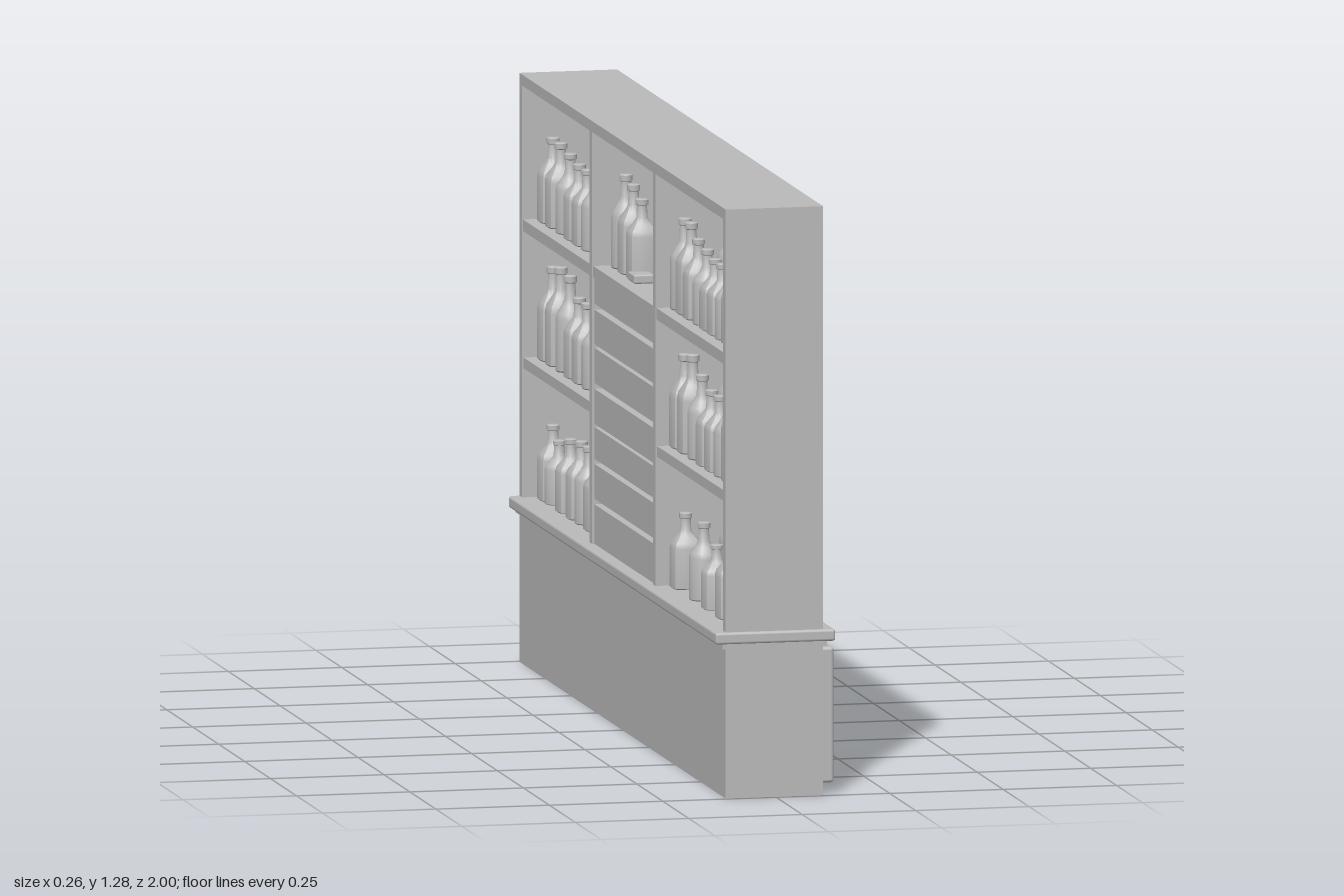
import * as THREE from 'three';
import { toCreasedNormals } from 'three/addons/utils/BufferGeometryUtils.js';
import { RoundedBoxGeometry } from 'three/addons/geometries/RoundedBoxGeometry.js';

const grey = new THREE.MeshStandardMaterial({ color: 0xbababa });
grey.name = 'plain grey';

// box given by its limits on each axis; r rounds the edges
function box(parent, name, [x0, x1], [y0, y1], [z0, z1], r = 0) {
  const size = [x1 - x0, y1 - y0, z1 - z0];
  const geo = r ? new RoundedBoxGeometry(...size, 2, r) : new THREE.BoxGeometry(...size);
  const mesh = new THREE.Mesh(geo, grey);
  mesh.name = name;
  mesh.position.set((x0 + x1) / 2, (y0 + y1) / 2, (z0 + z1) / 2);
  parent.add(mesh);
  return mesh;
}

// unit-height bottle: lathe profile, body optionally squared
function bottleGeometry(square) {
  const profile = [[0, 0], [0.15, 0], [0.17, 0.02], [0.17, 0.54], [0.155, 0.61], [0.1, 0.69],
    [0.066, 0.76], [0.058, 0.92], [0.074, 0.93], [0.074, 0.99], [0.06, 1], [0, 1]];
  const geo = new THREE.LatheGeometry(profile.map(p => new THREE.Vector2(...p)), 16);
  if (square) {
    const pos = geo.attributes.position;
    for (let i = 0; i < pos.count; i++) {
      const x = pos.getX(i), y = pos.getY(i), z = pos.getZ(i);
      const r = Math.hypot(x, z);
      if (y > 0.7 || r < 1e-5) continue;
      const k = Math.min(1.25, r / Math.max(Math.abs(x), Math.abs(z)));
      pos.setX(i, x * k);
      pos.setZ(i, z * k);
    }
  }
  return toCreasedNormals(geo, 0.7);
}

export function createModel() {
  const group = new THREE.Group();
  group.name = 'barShelf';
  const depth = [-0.11, 0.105], end = 0.993;

  // base cabinet, moulding and counter
  box(group, 'baseCabinet', depth, [0, 0.335], [-end, end]);
  box(group, 'counterMoulding', [-0.118, 0.113], [0.325, 0.337], [-0.997, 0.997]);
  box(group, 'counter', [-0.133, 0.131], [0.335, 0.361], [-1, 1], 0.006);

  // six cabinet doors
  for (let i = 0; i < 6; i++) {
    const z = (i - 2.5) * 0.332;
    box(group, 'cabinetDoor', [0.1, 0.131], [0.025, 0.32], [z - 0.155, z + 0.155], 0.007);
  }

  // uprights, top board and shelves
  for (const s of [-1, 1]) {
    const z = s * (end - 0.0125), m = s * 0.305;
    box(group, 'endUpright', depth, [0.355, 1.28], [z - 0.0125, z + 0.0125]);
    box(group, 'middleUpright', depth, [0.355, 1.26], [m - 0.0125, m + 0.0125]);
    const c = s * 0.643;
    box(group, 'middleShelf', [-0.107, 0.102], [0.642, 0.665], [c - 0.333, c + 0.333]);
  }
  box(group, 'topBoard', depth, [1.256, 1.28], [-end, end]);
  box(group, 'upperShelf', [-0.108, 0.103], [0.94, 0.965], [-0.975, 0.975]);

  // horizontal slats at the back of the middle bay
  for (const [y0, y1] of [[0.361, 0.447], [0.459, 0.535], [0.546, 0.615], [0.622, 0.698],
    [0.711, 0.787], [0.795, 0.87], [0.883, 0.942]]) {
    box(group, 'backSlat', [-0.105, -0.088], [y0, y1], [-0.295, 0.295]);
  }

  // bottles: each entry is [z, height]
  const squareGeo = bottleGeometry(true), roundGeo = bottleGeometry(false);
  const bottle = (x, y, z, h, square) => {
    const mesh = new THREE.Mesh(square ? squareGeo : roundGeo, grey);
    mesh.name = 'bottle';
    mesh.position.set(x, y - 0.001, z);
    mesh.scale.set(0.19, h, 0.19);
    group.add(mesh);
  };
  const row = (x, y, list) => list.forEach(([z, h], i) => bottle(x, y, z, h, i % 3 !== 2));

  const topLeft = [[0.92, 0.2], [0.85, 0.18], [0.78, 0.16], [0.71, 0.155], [0.64, 0.155],
    [0.565, 0.165], [0.48, 0.175], [0.41, 0.2], [0.348, 0.2]];
  const topMiddle = [[0.25, 0.2], [0.172, 0.2], [0.086, 0.165], [0, 0.155], [-0.097, 0.175],
    [-0.177, 0.195], [-0.252, 0.205]];
  const topRight = [[-0.345, 0.2], [-0.418, 0.175], [-0.51, 0.175], [-0.59, 0.165],
    [-0.67, 0.165], [-0.756, 0.175], [-0.847, 0.185], [-0.922, 0.185]];
  const midLeft = [[0.92, 0.215], [0.85, 0.215], [0.767, 0.175], [0.686, 0.165],
    [0.606, 0.165], [0.515, 0.185], [0.424, 0.215], [0.35, 0.205]];
  const midRight = [[-0.345, 0.215], [-0.418, 0.19], [-0.504, 0.175], [-0.59, 0.175],
    [-0.67, 0.175], [-0.756, 0.21], [-0.847, 0.215], [-0.922, 0.205]];
  for (const x of [0.052, -0.052]) {
    row(x, 0.965, topLeft);
    row(x, 0.965, topRight);
    row(x, 0.665, midLeft);
    row(x, 0.665, midRight);
  }
  row(0.052, 0.965, topMiddle);
  row(-0.045, 0.965, topMiddle.slice(4));

  // lower bays: front row and a sparser back row
  row(0.052, 0.361, [[0.91, 0.2], [0.815, 0.2], [0.724, 0.2], [0.595, 0.18], [0.53, 0.17],
    [0.45, 0.17], [0.376, 0.19]]);
  row(-0.052, 0.361, [[0.79, 0.17], [0.655, 0.14], [0.53, 0.17], [0.355, 0.165]]);
  row(0.052, 0.361, [[-0.343, 0.19], [-0.445, 0.185], [-0.51, 0.17], [-0.574, 0.17],
    [-0.65, 0.17], [-0.73, 0.19], [-0.804, 0.2], [-0.922, 0.165]]);
  row(-0.052, 0.361, [[-0.395, 0.185], [-0.48, 0.17], [-0.574, 0.17], [-0.65, 0.17],
    [-0.75, 0.16], [-0.863, 0.14], [-0.922, 0.165]]);

  // carton and small box on the upper middle shelf
  box(group, 'carton', [-0.085, -0.01], [0.965, 1.1], [0.19, 0.28], 0.008);
  box(group, 'smallBox', [-0.08, -0.035], [0.965, 0.985], [-0.08, -0.02], 0.004);

  // cups on the counter in the middle bay
  const cupGeo = new THREE.CylinderGeometry(0.018, 0.018, 0.085, 16);
  for (const [x, z] of [[0.06, -0.255], [0, -0.225], [0.05, 0.255]]) {
    const cup = new THREE.Mesh(cupGeo, grey);
    cup.name = 'cup';
    cup.position.set(x, 0.403, z);
    group.add(cup);
  }
  return group;
}
